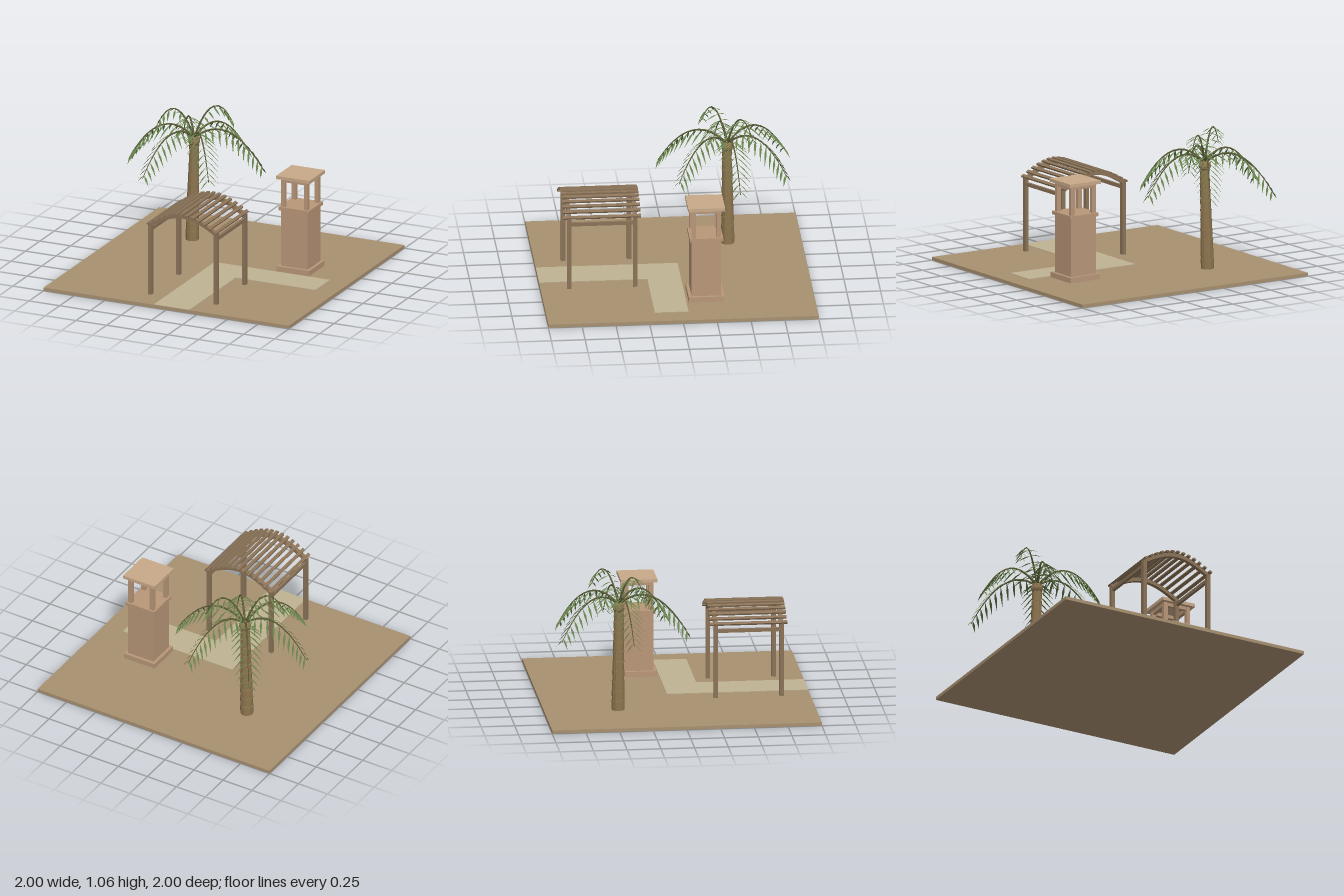
import * as THREE from 'three';
import { mergeGeometries } from 'three/addons/utils/BufferGeometryUtils.js';

const mat = (color, extra = {}) => {
  const m = new THREE.MeshStandardMaterial({ color, ...extra });
  return m;
};
const sand = mat(0xa89070), paving = mat(0xbfb292), clay = mat(0xb89678), cream = mat(0xc8a988);
const wood = mat(0x8b7358), bark = mat(0x8f7650, { flatShading: true });
const stem = mat(0x5d6038), leaf = mat(0x66804a, { side: THREE.DoubleSide, flatShading: true });

function add(parent, name, geometry, material, x = 0, y = 0, z = 0) {
  const mesh = new THREE.Mesh(geometry, material);
  mesh.name = name;
  mesh.position.set(x, y, z);
  parent.add(mesh);
  return mesh;
}

// Box given by its centre in plan and its bottom and top heights
const box = (parent, name, material, x, z, w, d, y0, y1) =>
  add(parent, name, new THREE.BoxGeometry(w, y1 - y0, d), material, x, (y0 + y1) / 2, z);

function group(parent, name) {
  const g = new THREE.Group();
  g.name = name;
  parent.add(g);
  return g;
}

function buildTower(root) {
  const g = group(root, 'tower');
  g.position.set(0.53, 0, -0.2);
  box(g, 'plinth', clay, 0, 0, 0.265, 0.265, 0.025, 0.065);
  box(g, 'shaft', clay, 0, 0, 0.218, 0.218, 0.065, 0.5);
  box(g, 'ledge', clay, 0, 0, 0.247, 0.247, 0.5, 0.526);
  for (const sx of [-1, 1]) {
    for (const sz of [-1, 1]) box(g, 'lanternPost', clay, sx * 0.093, sz * 0.093, 0.032, 0.032, 0.526, 0.745);
    box(g, 'lintelSide', clay, sx * 0.093, 0, 0.026, 0.16, 0.718, 0.745);
    box(g, 'lintelFront', clay, 0, sx * 0.093, 0.16, 0.026, 0.718, 0.745);
  }
  box(g, 'roofSlab', cream, 0, 0, 0.272, 0.272, 0.745, 0.77);
}

function buildPergola(root) {
  const g = group(root, 'pergola');
  g.position.set(0.041, 0, 0.543);
  const half = 0.28, rise = 0.11;
  const archY = x => 0.56 + rise * Math.cos((x / half) * Math.PI / 2);
  for (const sx of [-1, 1]) {
    for (const sz of [-1, 1]) box(g, 'post', wood, sx * 0.268, sz * 0.244, 0.03, 0.032, 0.025, 0.575);
    box(g, 'sideRail', wood, sx * 0.268, 0, 0.022, 0.47, 0.52, 0.546);
  }
  // Arched beams, front and back
  const top = [], bottom = [];
  for (let i = 0; i <= 20; i++) {
    const x = -half + (2 * half * i) / 20;
    top.push(new THREE.Vector2(x, archY(x) + 0.015));
    bottom.unshift(new THREE.Vector2(x, archY(x) - 0.015));
  }
  const arch = new THREE.ExtrudeGeometry(new THREE.Shape([...top, ...bottom]), { depth: 0.03, bevelEnabled: false });
  for (const sz of [-1, 1]) add(g, 'archBeam', arch, wood, 0, 0, sz * 0.244 - 0.015);
  // Slats following the arch
  const slat = new THREE.BoxGeometry(0.024, 0.014, 0.572);
  for (let i = 0; i < 13; i++) {
    const x = -0.27 + i * 0.045;
    const slope = -rise * Math.PI / (2 * half) * Math.sin((x / half) * Math.PI / 2);
    add(g, 'slat', slat, wood, x, archY(x) + 0.02, 0).rotation.z = Math.atan(slope);
  }
}

// Folded pointed leaflet from base along a direction
function leafletGeometry(base, dir, length, width) {
  const across = new THREE.Vector3(dir.z, 0, -dir.x).normalize().multiplyScalar(width / 2);
  const mid = base.clone().addScaledVector(dir, length * 0.45);
  const tip = base.clone().addScaledVector(dir, length);
  tip.y -= length * 0.1;
  const a = mid.clone().add(across), b = mid.clone().sub(across);
  mid.y += width * 0.25;
  const tris = [base, a, mid, mid, a, tip, base, mid, b, mid, tip, b];
  const geo = new THREE.BufferGeometry().setFromPoints(tris);
  geo.computeVertexNormals();
  return geo;
}

function buildFrond(parent, start, tip, lift, pairs, size) {
  const g = group(parent, 'frond');
  const ctrl = start.clone().lerp(tip, 0.5).setY(lift);
  const curve = new THREE.QuadraticBezierCurve3(start, ctrl, tip);
  // Tapered midrib
  const steps = 14, sides = 5;
  const rib = new THREE.TubeGeometry(curve, steps, 1, sides, false);
  const p = rib.attributes.position, v = new THREE.Vector3();
  for (let i = 0; i < p.count; i++) {
    const t = Math.floor(i / (sides + 1)) / steps;
    const c = curve.getPointAt(t);
    v.fromBufferAttribute(p, i).sub(c).multiplyScalar(0.009 - 0.0065 * t).add(c);
    p.setXYZ(i, v.x, v.y, v.z);
  }
  add(g, 'midrib', rib, stem);
  // Drooping leaflets in pairs
  const leaflets = [];
  for (let i = 0; i < pairs; i++) {
    const t = 0.16 + (0.8 * i) / (pairs - 1);
    const base = curve.getPointAt(t), along = curve.getTangentAt(t);
    const side = new THREE.Vector3(-along.z, 0, along.x).normalize();
    const length = size * (0.45 + 0.65 * Math.sin(Math.PI * (0.15 + 0.8 * t)));
    for (const s of [-1, 1]) {
      const dir = along.clone().multiplyScalar(0.35).addScaledVector(side, s * 0.8);
      dir.y -= 0.5;
      leaflets.push(leafletGeometry(base, dir.normalize(), length, 0.018));
    }
  }
  add(g, 'leaflets', mergeGeometries(leaflets), leaf);
}

function buildPalm(root) {
  const g = group(root, 'palmTree');
  // Leaning trunk of flared rings
  const rings = 10, y0 = 0.025, y1 = 0.77, h = (y1 - y0) / rings;
  for (let i = 0; i < rings; i++) {
    const t = i / rings, r = 0.048 - 0.015 * t;
    const x = -0.472 + 0.02 * t, z = -0.453 + 0.008 * t;
    add(g, 'trunkRing', new THREE.CylinderGeometry(r + 0.002, r, h, 12), bark, x, y0 + h * (i + 0.5), z);
    add(g, 'trunkRidge', new THREE.CylinderGeometry(r + 0.003, r + 0.003, 0.007, 12), bark, x, y0 + h * (i + 1) - 0.004, z);
  }
  // Crown with old leaf stubs
  const centre = new THREE.Vector3(-0.453, 0.8, -0.447);
  add(g, 'crown', new THREE.SphereGeometry(0.045, 10, 8), bark, centre.x, centre.y, centre.z);
  for (let i = 0; i < 9; i++) {
    const stub = new THREE.ConeGeometry(0.012, 0.06, 5);
    stub.translate(0, 0.045, 0).rotateZ(-0.85).rotateY((i / 9) * Math.PI * 2);
    add(g, 'leafStub', stub, bark, centre.x, centre.y - 0.015, centre.z);
  }
  const start = centre.clone().setY(0.82);
  // Long arching fronds
  const longTips = [[-0.76, -0.9], [-0.22, -0.87], [0.085, -0.5], [-0.155, -0.065], [-0.64, 0.05], [-0.945, -0.385]];
  for (const [x, z] of longTips) buildFrond(g, start, new THREE.Vector3(x, 0.63, z), 1.07, 11, 0.145);
  // Short upright fronds
  for (const [x, z] of [[-0.22, -0.62], [-0.685, -0.28]])
    buildFrond(g, start, new THREE.Vector3(x, 0.92, z), 1.245, 9, 0.1);
}

export function createModel() {
  const root = new THREE.Group();
  root.name = 'garden';
  box(root, 'ground', sand, 0, 0, 2, 2, 0, 0.025);
  box(root, 'entryPath', paving, 0.045, 0.6, 0.29, 0.8, 0.02, 0.029);
  box(root, 'crossPath', paving, 0.37, 0.075, 0.94, 0.25, 0.02, 0.029);
  buildTower(root);
  buildPergola(root);
  buildPalm(root);
  return root;
}
